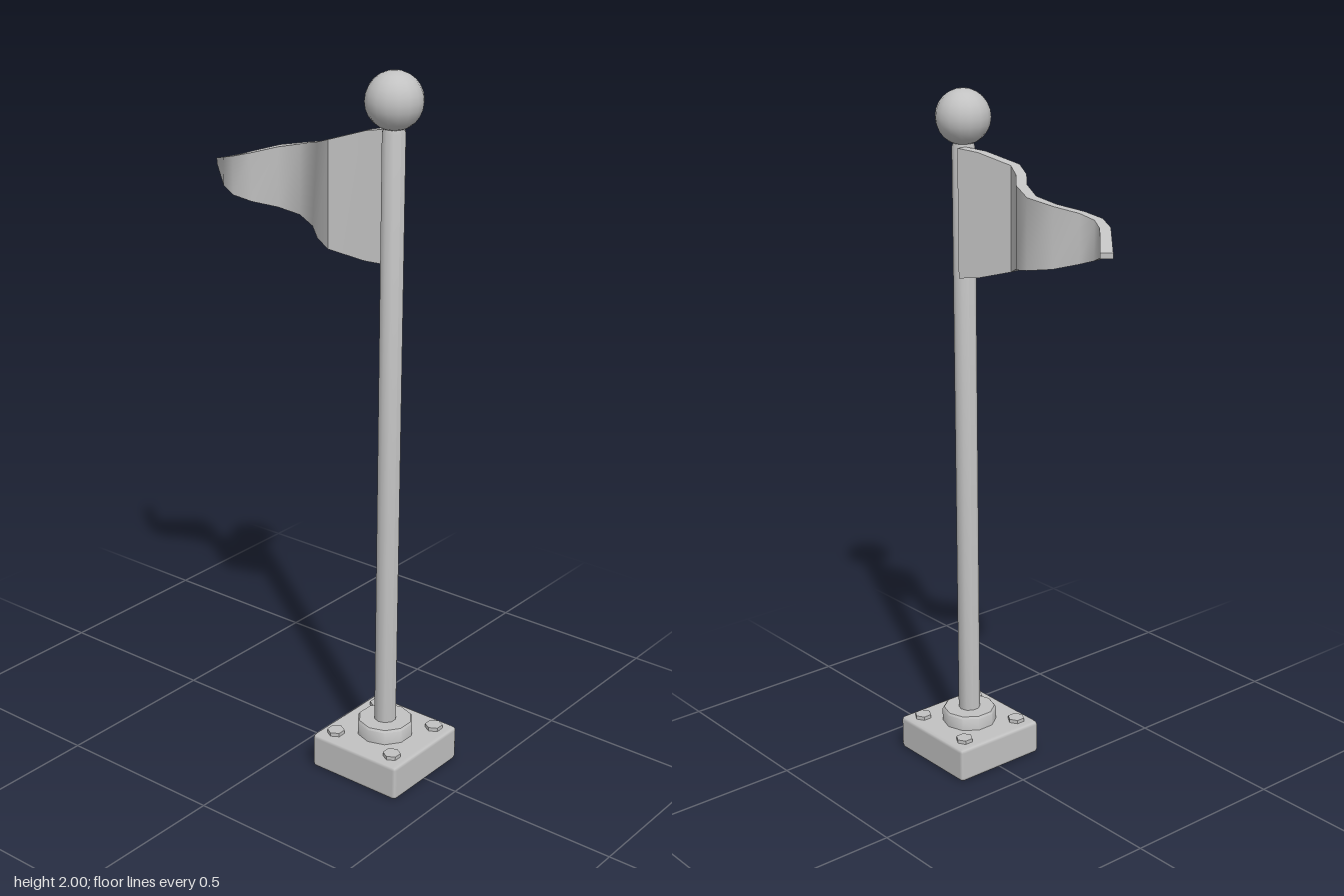
import * as THREE from 'three';
import { toCreasedNormals } from 'three/addons/utils/BufferGeometryUtils.js';
import { RoundedBoxGeometry } from 'three/addons/geometries/RoundedBoxGeometry.js';

const CREASE = 0.8;
const POLE_Z = 0.25;

// Pennant thickness seen from above: [left x, left z, right x, right z, top y, bottom y]
const PENNANT = [
  [0.011, 0.225, 0.041, 0.225, 1.845, 1.485],
  [-0.015, 0.171, 0.015, 0.171, 1.838, 1.492],
  [-0.059, 0.083, -0.028, 0.083, 1.81, 1.518],
  [-0.04, 0.032, -0.015, 0.047, 1.793, 1.535],
  [0.002, -0.019, 0.03, -0.006, 1.778, 1.55],
  [0.023, -0.08, 0.055, -0.08, 1.76, 1.566],
  [0.006, -0.142, 0.032, -0.156, 1.746, 1.58],
  [-0.04, -0.197, -0.013, -0.209, 1.73, 1.596],
  [-0.059, -0.247, -0.028, -0.249, 1.717, 1.61],
  [-0.042, -0.296, -0.015, -0.283, 1.704, 1.625],
  [0.046, -0.4, 0.07, -0.378, 1.67, 1.655],
];

// Skin four-cornered cross-sections into a closed, tapering ribbon
function pennantGeometry() {
  const positions = [];
  const index = [];
  for (const [lx, lz, rx, rz, top, bottom] of PENNANT) {
    positions.push(lx, bottom, lz, rx, bottom, rz, rx, top, rz, lx, top, lz);
  }
  const quad = (a, b, c, d) => index.push(a, b, c, a, c, d);
  const last = (PENNANT.length - 1) * 4;
  for (let i = 0; i < last; i += 4) {
    for (let k = 0; k < 4; k++) {
      const n = (k + 1) % 4;
      quad(i + k, i + 4 + k, i + 4 + n, i + n);
    }
  }
  quad(0, 1, 2, 3);
  quad(last + 3, last + 2, last + 1, last);
  const geometry = new THREE.BufferGeometry();
  geometry.setAttribute('position', new THREE.Float32BufferAttribute(positions, 3));
  geometry.setIndex(index);
  return toCreasedNormals(geometry, CREASE);
}

// Turned part with crisp edges, from [radius, height] pairs
function turned(profile, sides) {
  const points = profile.map(([r, y]) => new THREE.Vector2(r, y));
  const geometry = new THREE.LatheGeometry(points, sides);
  geometry.rotateY(Math.PI / 2);
  return toCreasedNormals(geometry, CREASE);
}

export function createModel() {
  const group = new THREE.Group();
  const grey = new THREE.MeshStandardMaterial({ color: 0xc2c2c2 });
  grey.name = 'plain grey';

  const add = (name, geometry, x, y, z) => {
    const mesh = new THREE.Mesh(geometry, grey);
    mesh.name = name;
    mesh.position.set(x, y, z);
    group.add(mesh);
  };

  // Base plate with softened edges
  add('basePlate', new RoundedBoxGeometry(0.296, 0.104, 0.296, 1, 0.011), 0, 0.052, POLE_Z);

  // Hexagonal bolts at the four corners
  const bolt = new THREE.CylinderGeometry(0.025, 0.025, 0.03, 6);
  bolt.rotateY(Math.PI / 2);
  const flatBolt = toCreasedNormals(bolt, CREASE);
  for (const x of [-0.1, 0.1]) {
    for (const z of [-0.1, 0.1]) add('bolt', flatBolt, x, 0.1, POLE_Z + z);
  }

  // Collar, pole with a chamfered top, and ball
  add('collar', turned([[0, 0.09], [0.081, 0.09], [0.081, 0.141], [0.076, 0.147], [0, 0.147]], 10), 0, 0, POLE_Z);
  add('pole', turned([[0, 0.1], [0.032, 0.1], [0.032, 1.842], [0.024, 1.862], [0, 1.862]], 10), 0, 0, POLE_Z);
  add('ball', new THREE.SphereGeometry(0.077, 16, 12), 0, 1.923, POLE_Z);

  // Waving pennant
  add('pennant', pennantGeometry(), 0, 0, 0);

  return group;
}
